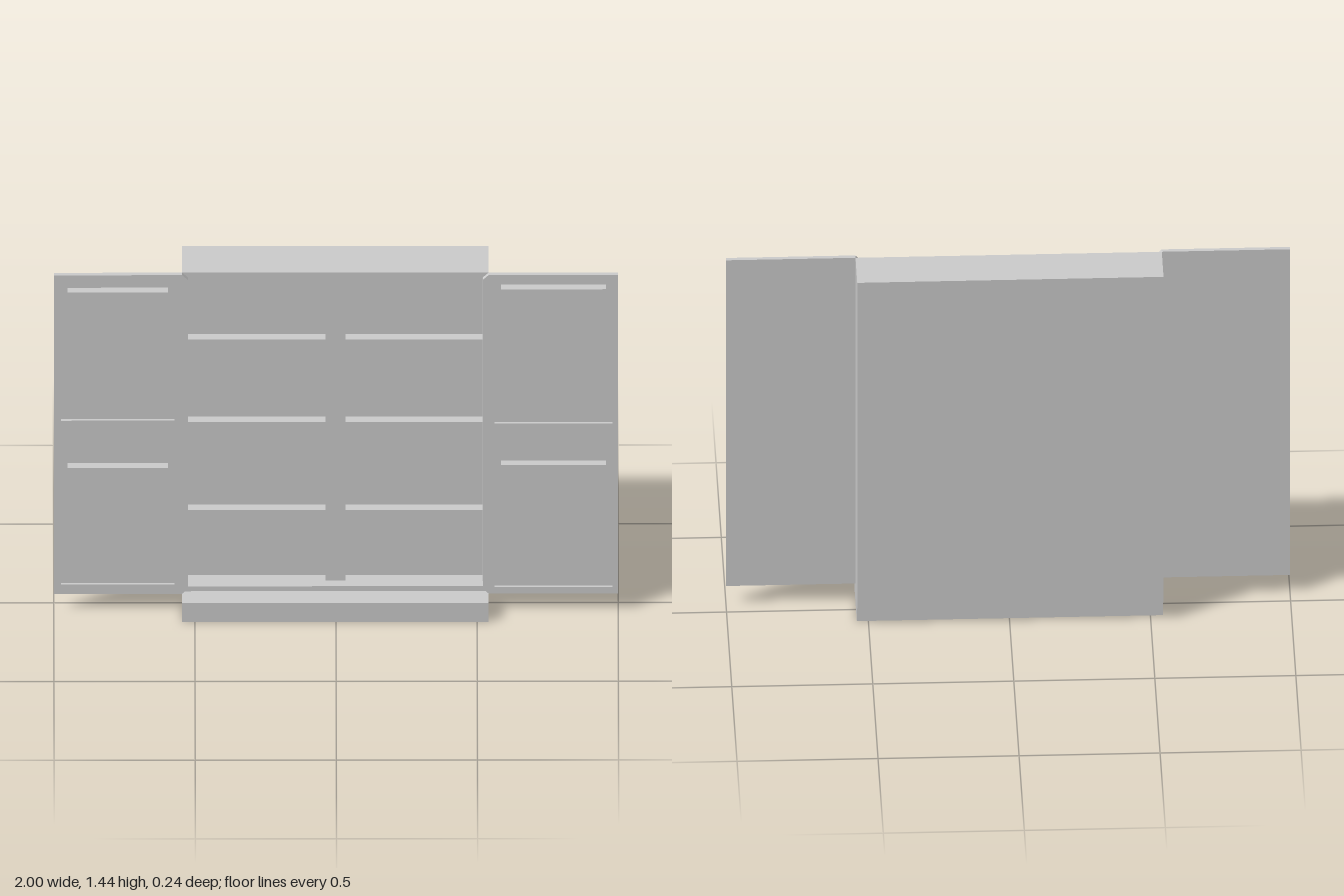
import * as THREE from 'three';

const mat = new THREE.MeshStandardMaterial({ color: 0xcccccc, flatShading: true });

// Cabinet extents, and the opening inside its rim
const X0 = -0.545, X1 = 0.541, Y0 = 0.08, Y1 = 1.44, RIM = 0.021;
const IX0 = X0 + RIM, IX1 = X1 - RIM, IY0 = Y0 + RIM, IY1 = Y1 - RIM;
const BACK = -0.122, FRONT = 0.046, WALL = -0.025, SHELF = 0.01;
const DOOR_FLOOR = 0.052, DOOR_FRONT = 0.062, PANEL_FRONT = 0.083;

function box(name, x0, x1, y0, y1, z0, z1) {
  const m = new THREE.Mesh(new THREE.BoxGeometry(x1 - x0, y1 - y0, z1 - z0), mat);
  m.position.set((x0 + x1) / 2, (y0 + y1) / 2, (z0 + z1) / 2);
  m.name = name;
  return m;
}

const rect = ([x0, x1, y0, y1]) => [[x0, y0], [x1, y0], [x1, y1], [x0, y1]];
const toPoints = (list) => list.map(([x, y]) => new THREE.Vector2(x, y));

// Flat plate with rectangular holes, between two depths
function plate(name, outline, holes, z0, z1) {
  const shape = new THREE.Shape(toPoints(outline));
  for (const h of holes) shape.holes.push(new THREE.Path(toPoints(rect(h))));
  const geo = new THREE.ExtrudeGeometry(shape, { depth: z1 - z0, bevelEnabled: false });
  const m = new THREE.Mesh(geo, mat);
  m.position.z = z0;
  m.name = name;
  return m;
}

// Open door: mitred inner edge, two sunken fields, each with a raised panel
function door(name, outerX, edgeX, innerX, fields, inset) {
  const g = new THREE.Group();
  g.name = name;
  const outline = [[outerX, Y0], [edgeX, Y0], [innerX, IY0], [innerX, IY1], [edgeX, Y1], [outerX, Y1]];
  g.add(plate('doorBack', outline, [], FRONT, DOOR_FLOOR));
  g.add(plate('doorFrame', outline, fields, DOOR_FLOOR, DOOR_FRONT));
  for (const [x0, x1, y0, y1] of fields) {
    g.add(box('raisedPanel', x0 + inset, x1 - inset, y0 + inset, y1 - inset, DOOR_FLOOR, PANEL_FRONT));
  }
  return g;
}

export function createModel() {
  const model = new THREE.Group();
  model.name = 'cabinet';

  // Plinth, set forward of the body
  model.add(box('plinth', X0, X1, 0, Y0, -0.078, 0.122));

  // Body: solid back and a rim around the shallow recess
  model.add(box('back', X0, X1, Y0, Y1, BACK, WALL));
  model.add(plate('rim', rect([X0, X1, Y0, Y1]), [[IX0, IX1, IY0, IY1]], WALL, FRONT));

  // Shelves and central divider as one flush lattice of eight compartments
  const rows = [[IY0, 0.37], [0.402, 0.698], [1.094, IY1], [0.778, 1.13]];
  const gaps = [[IY0, 0.37], [0.402, 0.698], [0.778, 1.094], [1.13, IY1]];
  for (let i = 0; i < 3; i++) {
    model.add(box('shelf', IX0, IX1, gaps[i][1], gaps[i + 1][0], WALL, SHELF));
  }
  for (const [y0, y1] of gaps) model.add(box('divider', -0.037, 0.033, y0, y1, WALL, SHELF));

  // Doors, the left one with slightly larger fields
  model.add(door('leftDoor', 1, X1, IX1,
    [[0.561, 0.98, 0.806, 1.416], [0.561, 0.98, 0.108, 0.665]], 0.023));
  model.add(door('rightDoor', -1, X0, IX0,
    [[-0.975, -0.572, 0.819, 1.403], [-0.975, -0.572, 0.12, 0.654]], 0.023));
  return model;
}
